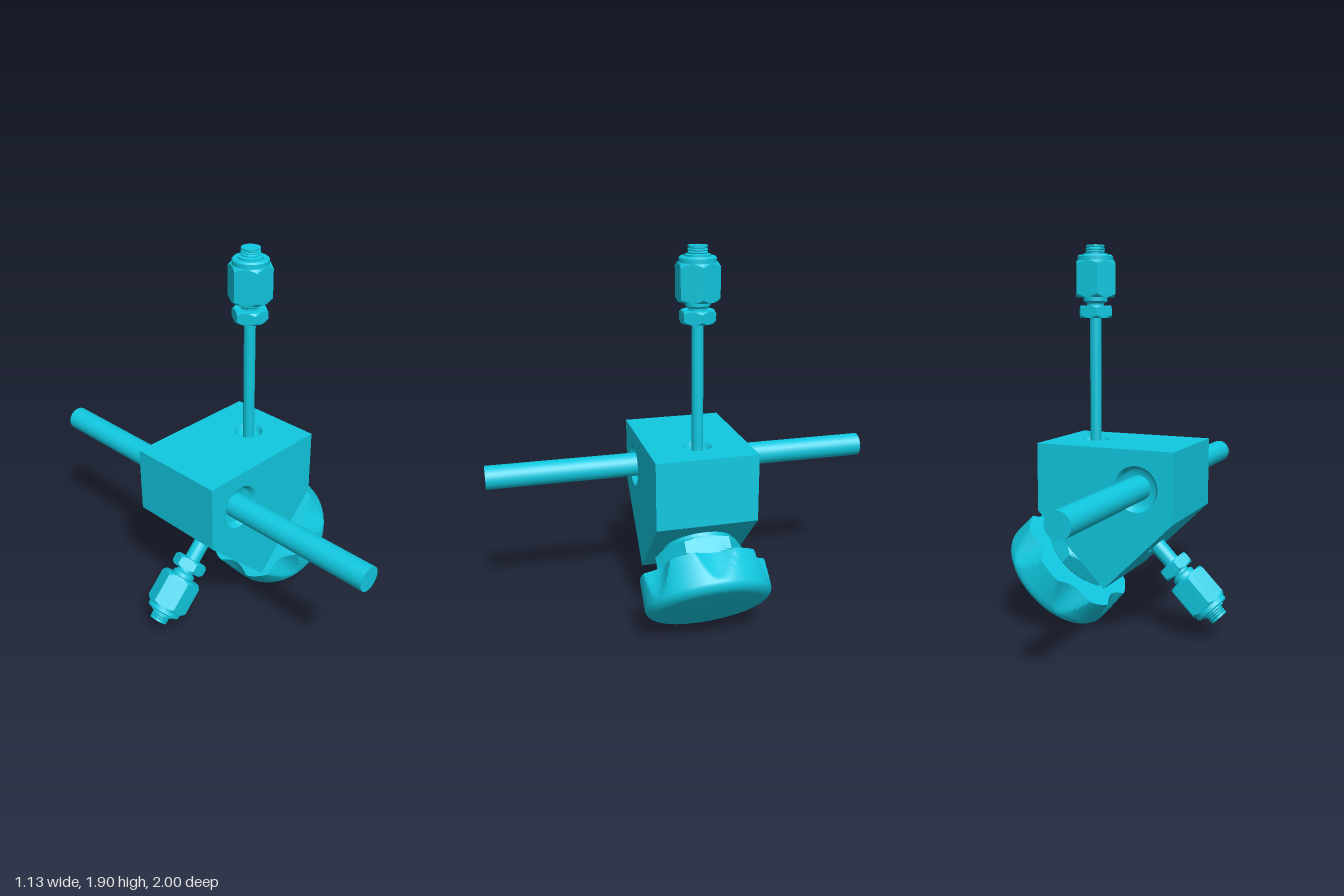
import * as THREE from 'three';
import { toCreasedNormals } from 'three/addons/utils/BufferGeometryUtils.js';

const material = new THREE.MeshStandardMaterial({ color: 0x10c8e0, side: THREE.DoubleSide });

function add(parent, name, geometry) {
  const mesh = new THREE.Mesh(geometry, material);
  mesh.name = name;
  parent.add(mesh);
  return mesh;
}

// Turned part about y; points are [radius, height], optionally reshaped by rule(radius, height, angle)
function turned(points, segments = 32, rule = null) {
  const g = new THREE.LatheGeometry(points.map(p => new THREE.Vector2(...p)), segments);
  if (rule) {
    const pos = g.attributes.position;
    for (let i = 0; i < pos.count; i++) {
      const x = pos.getX(i), z = pos.getZ(i), a = Math.atan2(z, x);
      const r = rule(Math.hypot(x, z), pos.getY(i), a);
      pos.setX(i, r * Math.cos(a));
      pos.setZ(i, r * Math.sin(a));
    }
  }
  return toCreasedNormals(g, 0.5);
}

const rod = (r, y0, y1) => turned([[0, y0], [r, y0], [r, y1], [0, y1]]);

// Angle from the nearest of n equally spaced directions
const fold = (a, n, start = 0) => {
  const step = 2 * Math.PI / n;
  return (a - start) - step * Math.round((a - start) / step);
};

// Hexagonal nut with conically chamfered corners; flat is half the width across flats
function hexNut(flat, y0, y1, chamfer, start) {
  const corner = flat / Math.cos(Math.PI / 6), points = [[0, y0]];
  for (let i = 0; i <= 3; i++) points.push([flat + (corner - flat) * i / 3, y0 + chamfer * i / 3]);
  for (let i = 3; i >= 0; i--) points.push([flat + (corner - flat) * i / 3, y1 - chamfer * i / 3]);
  points.push([0, y1]);
  return turned(points, 48, (r, y, a) => Math.min(r, flat / Math.cos(fold(a, 6, start))));
}

// Tube with compression fitting, starting at y = 0 on a block face
function tubeFitting(name, tubeRadius, length) {
  const g = new THREE.Group();
  g.name = name;
  add(g, 'tube', rod(tubeRadius, -0.06, length + 0.02));
  const fitting = new THREE.Group();
  fitting.name = 'fitting';
  fitting.position.y = length;
  g.add(fitting);
  add(fitting, 'smallNut', hexNut(0.076, 0, 0.06, 0.012, Math.PI / 6));
  add(fitting, 'neck', turned([[0.042, 0.05], [0.042, 0.07], [0.058, 0.08], [0.058, 0.11]]));
  add(fitting, 'largeNut', hexNut(0.093, 0.1, 0.275, 0.015, Math.PI / 6));
  add(fitting, 'collar', turned([[0.087, 0.27], [0.087, 0.295], [0.08, 0.302], [0, 0.302]]));
  const thread = [[0.06, 0.3], [0.06, 0.31], [0.04, 0.313]];
  for (let y = 0.316; y < 0.335; y += 0.012) thread.push([0.047, y], [0.047, y + 0.005], [0.04, y + 0.009]);
  thread.push([0.045, 0.34], [0.045, 0.35], [0, 0.35]);
  add(fitting, 'threadedEnd', turned(thread));
  return g;
}

// Concave seat ring where a tube enters the block
const seat = (outer, inner) =>
  turned([[outer, 0], [outer * 0.78 + inner * 0.1, -0.025], [inner + 0.008, -0.035], [inner - 0.005, -0.035]]);

function circleHole(shape, x, y, r) {
  shape.holes.push(new THREE.Path().absarc(x, y, r, 0, Math.PI * 2, true));
}

export function createModel() {
  const model = new THREE.Group();
  const depth = 0.25, pipeX = -0.245, pipeY = 0.765, pipeSeat = 0.11;
  const outline = [[-0.43, 0.95], [-0.43, 0.615], [-0.08, 0.265], [0.275, 0.615], [0.275, 0.95]]
    .map(p => new THREE.Vector2(...p));

  // Valve block: front and back plates
  const block = new THREE.Group();
  block.name = 'valveBlock';
  model.add(block);
  const plate = new THREE.Shape(outline);
  circleHole(plate, pipeX, pipeY, pipeSeat);
  for (const s of [1, -1]) {
    const face = add(block, s > 0 ? 'blockFront' : 'blockBack', new THREE.ShapeGeometry(plate, 24));
    face.position.z = s * depth;
    face.scale.z = s;
    const ring = add(block, 'pipeSeat', seat(pipeSeat, 0.06));
    ring.position.set(pipeX, pipeY, s * depth);
    ring.rotation.x = s * Math.PI / 2;
  }

  // Valve block: side faces, each in a frame with y pointing out of the block
  const ports = { 1: { x: 0, r: 0.06, tube: 0.04 }, 4: { x: 0.1575, r: 0.07, tube: 0.028 } };
  const frames = outline.map((p, i) => {
    const q = outline[(i + 1) % outline.length];
    const frame = new THREE.Group();
    frame.name = 'blockSide';
    frame.position.set((p.x + q.x) / 2, (p.y + q.y) / 2, 0);
    frame.rotation.z = Math.atan2(-(q.y - p.y), -(q.x - p.x));
    const w = p.distanceTo(q) / 2;
    const side = new THREE.Shape([[-w, -depth], [w, -depth], [w, depth], [-w, depth]]
      .map(c => new THREE.Vector2(...c)));
    const port = ports[i];
    if (port) {
      circleHole(side, port.x, 0, port.r);
      add(frame, 'tubeSeat', seat(port.r, port.tube)).position.x = port.x;
    }
    add(frame, 'blockFace', new THREE.ShapeGeometry(side, 24).rotateX(-Math.PI / 2));
    block.add(frame);
    return frame;
  });

  // Through pipe
  const pipe = add(model, 'throughPipe', rod(0.06, -1, 1));
  pipe.position.set(pipeX, pipeY, 0);
  pipe.rotation.x = Math.PI / 2;

  // Upper and lower tube fittings
  const upper = tubeFitting('upperTube', 0.028, 0.6);
  upper.position.x = ports[4].x;
  frames[4].add(upper);
  frames[1].add(tubeFitting('lowerTube', 0.04, 0.11));

  // Bonnet and hand knob
  const valve = new THREE.Group();
  valve.name = 'handValve';
  valve.position.x = 0.012;
  frames[2].add(valve);
  add(valve, 'bonnetBase', rod(0.175, -0.01, 0.03));
  add(valve, 'bonnetNut', hexNut(0.193, 0.022, 0.118, 0.018, 0));
  add(valve, 'stem', rod(0.1, 0.1, 0.15));

  // Knob: rounded outer rim, six finger scallops fading towards the outer face
  const back = 0.133, rim = 0.313, profile = [[0, back], [0.1, back], [0.22, back], [rim, back]];
  for (let i = 1; i <= 10; i++) profile.push([rim, back + 0.147 * i / 10]);
  for (let i = 1; i <= 8; i++) {
    const t = i / 8 * Math.PI / 2;
    profile.push([rim - 0.065 * (1 - Math.cos(t)), 0.28 + 0.05 * Math.sin(t)]);
  }
  profile.push([0.185, 0.338], [0, 0.338]);
  add(valve, 'handKnob', turned(profile, 120, (r, y, a) => {
    const f = fold(a, 6);
    const cut = 0.052 * (1 - (y - back) / 0.15) - 0.5 * f * f;
    return r > 0.25 ? r - Math.max(0, cut) : r;
  }));

  return model;
}
